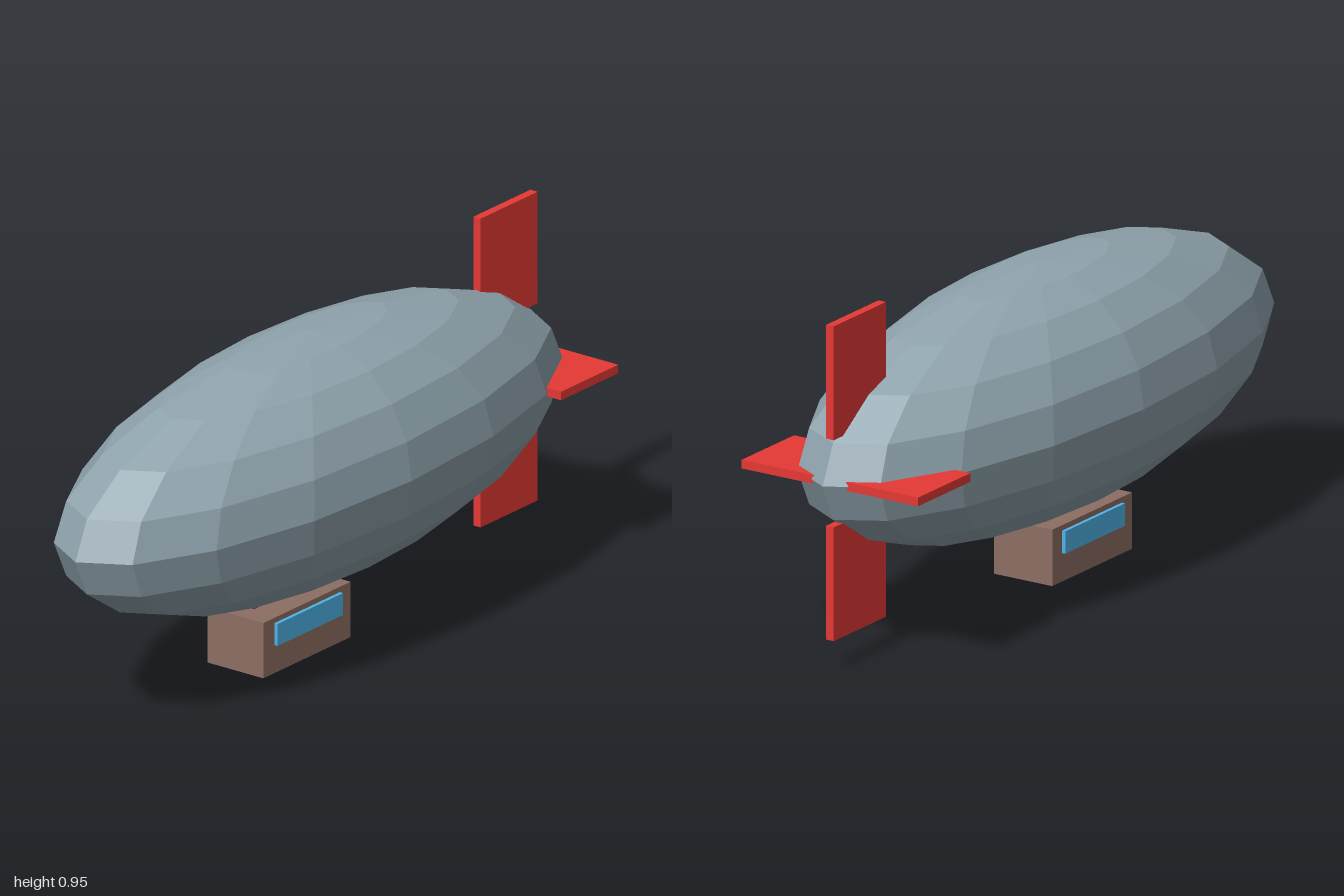
import * as THREE from 'three';

const material = (color) => new THREE.MeshStandardMaterial({ color, flatShading: true });
const hullGrey = material(0x90a4ae);
const finRed = material(0xe53935);
const cabinBrown = material(0x8d6e63);
const glassBlue = material(0x4fb3e8);
const strutDark = material(0x4a4a4a);

export function createModel() {
  const model = new THREE.Group();
  model.name = 'airship';

  const box = (name, mat, size, position) => {
    const mesh = new THREE.Mesh(new THREE.BoxGeometry(...size), mat);
    mesh.name = name;
    mesh.position.set(...position);
    model.add(mesh);
  };

  // Faceted gas envelope: a stretched low-poly sphere
  const centreY = 0.519;
  const hull = new THREE.SphereGeometry(1, 16, 10);
  hull.scale(0.342, 0.342, 1);
  const envelope = new THREE.Mesh(hull, hullGrey);
  envelope.name = 'envelope';
  envelope.position.y = centreY;
  model.add(envelope);

  // Tail fins, cabin windows: mirrored pairs
  const finZ = -0.843, finLength = 0.245, thickness = 0.024;
  for (const side of [1, -1]) {
    box(side > 0 ? 'upperFin' : 'lowerFin', finRed,
      [thickness, 0.315, finLength], [0, centreY + side * 0.278, finZ]);
    box(side > 0 ? 'leftFin' : 'rightFin', finRed,
      [0.245, thickness, finLength], [side * 0.157, centreY, finZ]);
    box(side > 0 ? 'leftWindow' : 'rightWindow', glassBlue,
      [0.02, 0.062, 0.28], [side * 0.093, 0.11, 0.126]);
  }

  // Gondola hung from the hull by a thin strut
  box('gondola', cabinBrown, [0.185, 0.156, 0.374], [0, 0.078, 0.127]);
  box('strut', strutDark, [0.024, 0.07, 0.25], [0, 0.185, 0.126]);

  return model;
}
